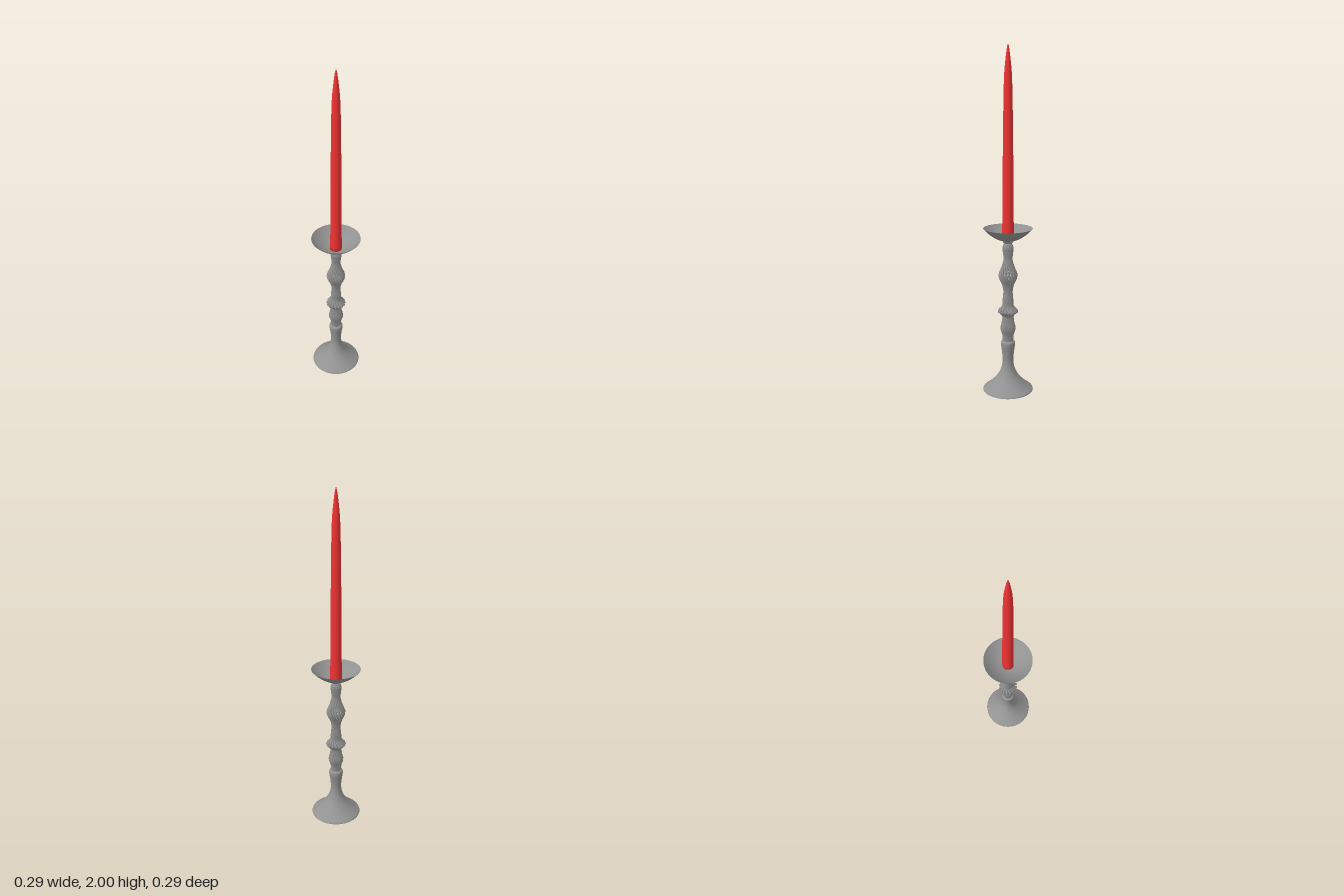
import * as THREE from 'three';

const metal = new THREE.MeshStandardMaterial({ color: 0x929292, side: THREE.DoubleSide });
const wax = new THREE.MeshStandardMaterial({ color: 0xf03232 });

// Smooth curve through [radius, height] points, sampled for a lathe
function profile(points, samples) {
  const curve = new THREE.CatmullRomCurve3(points.map(([r, y]) => new THREE.Vector3(r, y, 0)));
  return curve.getPoints(samples).map(p => new THREE.Vector2(Math.max(p.x, 0), p.y));
}

function addMesh(group, name, geometry, material) {
  const mesh = new THREE.Mesh(geometry, material);
  mesh.name = name;
  group.add(mesh);
  return mesh;
}

export function createModel() {
  const model = new THREE.Group();
  model.name = 'candlestick';

  // Hollow flared foot narrowing to a smooth neck
  const foot = profile([[0.145, 0], [0.143, 0.005], [0.12, 0.023], [0.085, 0.055], [0.055, 0.093], [0.037, 0.135],
    [0.031, 0.18], [0.035, 0.23], [0.041, 0.275], [0.039, 0.29], [0.032, 0.297]], 50);
  addMesh(model, 'foot', new THREE.LatheGeometry(foot, 64), metal);
  const neckCap = addMesh(model, 'neckCap', new THREE.CircleGeometry(0.033, 48), metal);
  neckCap.rotation.x = -Math.PI / 2;
  neckCap.position.y = 0.296;

  // Stem of fine twisted strands following a swelling outline
  const outline = [[0.03, 0.29], [0.033, 0.33], [0.044, 0.37], [0.036, 0.41], [0.034, 0.445],
    [0.046, 0.462], [0.059, 0.474], [0.046, 0.488], [0.034, 0.505], [0.031, 0.54], [0.027, 0.59], [0.034, 0.63],
    [0.052, 0.67], [0.054, 0.69], [0.037, 0.735], [0.026, 0.78], [0.03, 0.82], [0.032, 0.845],
    [0.026, 0.862], [0.02, 0.87], [0.033, 0.884]];
  const strandRadius = 0.0065;
  const strandCount = 16;
  const stemPath = profile(outline, 110);
  const stem = new THREE.Group();
  stem.name = 'twistedStem';
  for (let i = 0; i < strandCount; i++) {
    const points = stemPath.map(p => {
      const angle = i / strandCount * Math.PI * 2 + (p.y - 0.29) * 9;
      const r = p.x - strandRadius;
      return new THREE.Vector3(Math.cos(angle) * r, p.y, Math.sin(angle) * r);
    });
    const path = new THREE.CatmullRomCurve3(points);
    addMesh(stem, 'strand' + (i + 1), new THREE.TubeGeometry(path, 150, strandRadius, 6), metal);
  }
  model.add(stem);

  // Shallow drip bowl
  const bowl = profile([[0, 0.882], [0.03, 0.885], [0.065, 0.897], [0.1, 0.919], [0.127, 0.943], [0.139, 0.956]], 30);
  addMesh(model, 'dripBowl', new THREE.LatheGeometry(bowl, 64), metal);

  // Tapered candle and its wick
  const candle = [new THREE.Vector2(0, 0.886), ...profile([[0.033, 0.886], [0.032, 1.0], [0.03, 1.25],
    [0.027, 1.5], [0.024, 1.7], [0.02, 1.81], [0.012, 1.89], [0.005, 1.94], [0, 1.958]], 50)];
  addMesh(model, 'candle', new THREE.LatheGeometry(candle, 40), wax);
  const wick = addMesh(model, 'wick', new THREE.CylinderGeometry(0.0008, 0.0008, 0.06, 8), metal);
  wick.position.y = 1.97;

  return model;
}
